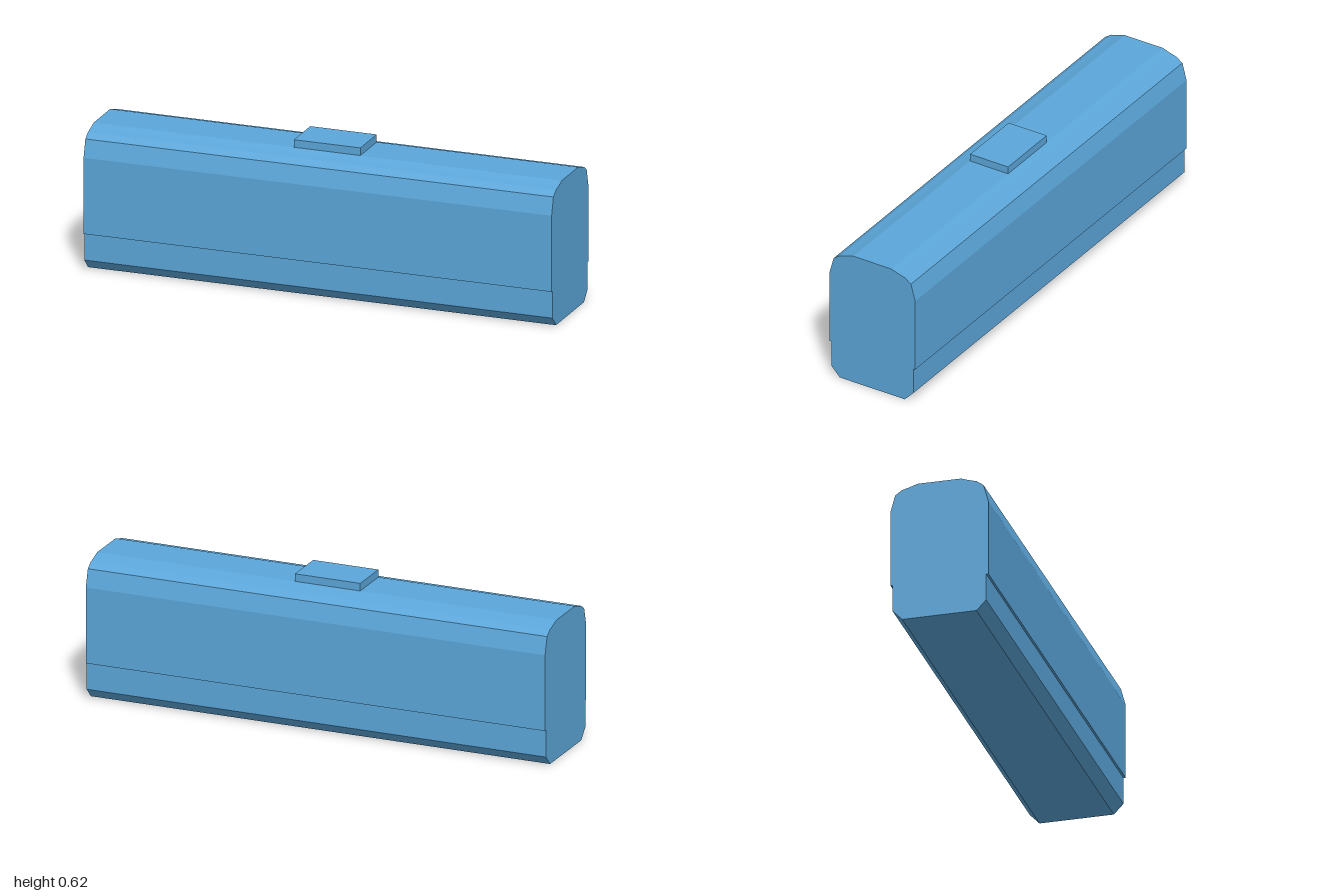
import * as THREE from 'three';

export function createModel() {
  const model = new THREE.Group();
  const blue = new THREE.MeshStandardMaterial({ name: 'blue', color: 0x5ba6d9 });

  // Extrudes a symmetric half profile [half depth, height] along x, centred on x = 0
  function extrudeAlongX(half, length, name) {
    const mirrored = half.map(([z, y]) => [-z, y]).reverse();
    const shape = new THREE.Shape([...half, ...mirrored].map(([z, y]) => new THREE.Vector2(z, y)));
    const geometry = new THREE.ExtrudeGeometry(shape, { depth: length, bevelEnabled: false });
    geometry.translate(0, 0, -length / 2).rotateY(Math.PI / 2);
    const mesh = new THREE.Mesh(geometry, blue);
    mesh.name = name;
    model.add(mesh);
  }

  // Long body: chamfered base, stepped side walls and faceted roof
  extrudeAlongX([
    [0.154, 0], [0.194, 0.042], [0.194, 0.155], [0.203, 0.155], [0.203, 0.475],
    [0.183, 0.548], [0.155, 0.568], [0.123, 0.577], [0.09, 0.588],
  ], 2, 'body');

  // Flat box on the middle of the roof
  const roofBox = new THREE.Mesh(new THREE.BoxGeometry(0.284, 0.034, 0.18), blue);
  roofBox.name = 'roofBox';
  roofBox.position.set(-0.003, 0.603, 0);
  model.add(roofBox);

  return model;
}
